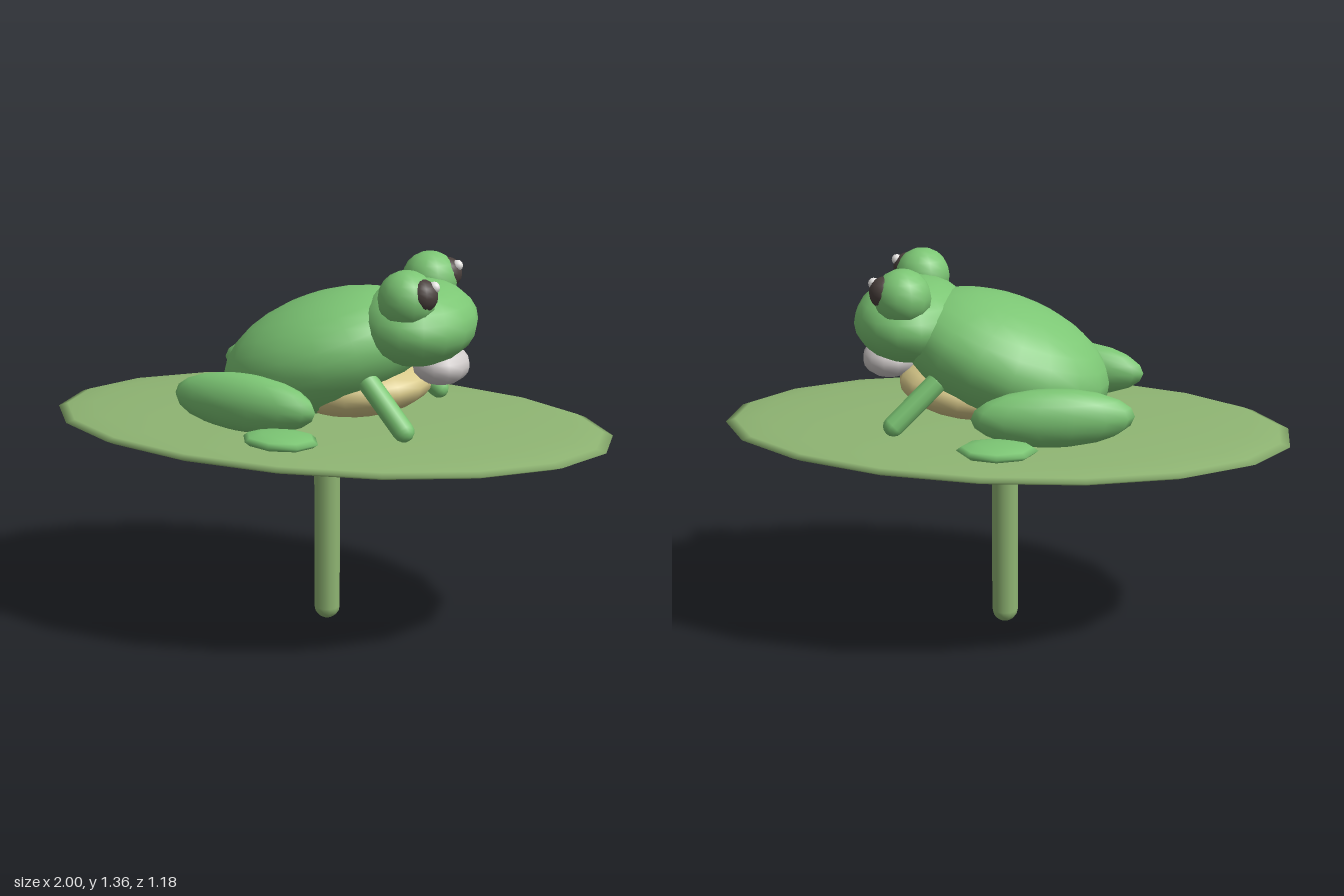
import * as THREE from 'three';

const mat = (name, color) => {
  const m = new THREE.MeshStandardMaterial({ color });
  m.name = name;
  return m;
};

export function createModel() {
  const skin = mat('frog green', 0x7cc674);
  const leaf = mat('leaf green', 0x8fb573);
  const cream = mat('belly cream', 0xd8c98a);
  const pale = mat('throat grey', 0xcfcac9);
  const dark = mat('pupil brown', 0x4a403d);
  const white = mat('highlight white', 0xf2f0ee);

  const model = new THREE.Group();
  model.name = 'frogOnLilyPad';

  // Smooth ellipsoid: centre, radii, optional rotation and segment counts
  function blob(name, material, pos, radii, { rot = [0, 0, 0], w = 16, h = 12, start = 0 } = {}) {
    const geo = new THREE.SphereGeometry(1, w, h, start);
    geo.scale(...radii);
    const mesh = new THREE.Mesh(geo, material);
    mesh.name = name;
    mesh.position.set(...pos);
    mesh.rotation.set(...rot);
    model.add(mesh);
    return mesh;
  }

  // Round-ended limb between two points
  function limb(name, material, a, b, radius, sides) {
    const from = new THREE.Vector3(...a), to = new THREE.Vector3(...b);
    const dir = to.clone().sub(from);
    const mesh = new THREE.Mesh(new THREE.CapsuleGeometry(radius, dir.length(), 4, sides), material);
    mesh.name = name;
    mesh.position.copy(from).add(to).multiplyScalar(0.5);
    mesh.quaternion.setFromUnitVectors(new THREE.Vector3(0, 1, 0), dir.normalize());
    model.add(mesh);
  }

  // Lily pad and stem
  blob('lilyPad', leaf, [0, 0.772, 0], [1.015, 0.047, 0.59], { w: 18, h: 12, start: Math.PI / 2 });
  limb('stem', leaf, [0, 0.053, 0], [0, 0.74, 0], 0.048, 12);

  // Torso, head and throat
  blob('body', skin, [0, 1.03, 0], [0.385, 0.205, 0.322], { rot: [0, 0, 0.35], w: 18, h: 14 });
  blob('belly', cream, [0.13, 0.915, 0], [0.25, 0.1, 0.24], { rot: [0, 0, 0.12] });
  blob('head', skin, [0.325, 1.155, 0], [0.205, 0.145, 0.275], { w: 16, h: 12 });
  blob('throat', pale, [0.41, 1.01, 0], [0.1, 0.07, 0.117], { w: 12, h: 10 });

  // Mirrored parts: the frog looks along +x, so its sides are +z and -z
  for (const [side, s] of [['left', -1], ['right', 1]]) {
    blob(side + 'Eye', skin, [0.325, 1.27, s * 0.176], [0.099, 0.097, 0.098], { w: 12, h: 10 });
    blob(side + 'Pupil', dark, [0.382, 1.289, s * 0.197], [0.054, 0.055, 0.054], { w: 12, h: 10 });
    blob(side + 'Highlight', white, [0.42, 1.318, s * 0.19], [0.02, 0.02, 0.02], { w: 8, h: 6 });
    blob(side + 'Thigh', skin, [-0.205, 0.908, s * 0.308], [0.275, 0.1, 0.085], { rot: [0, -s * 0.2, 0], w: 14, h: 10 });
    blob(side + 'HindFoot', skin, [-0.035, 0.828, s * 0.432], [0.136, 0.027, 0.1], { w: 8, h: 6, rot: [0, -s * 0.12, 0] });
    limb(side + 'FrontLeg', skin, [0.205, 0.985, s * 0.21], [0.345, 0.843, s * 0.275], 0.037, 10);
  }

  return model;
}
